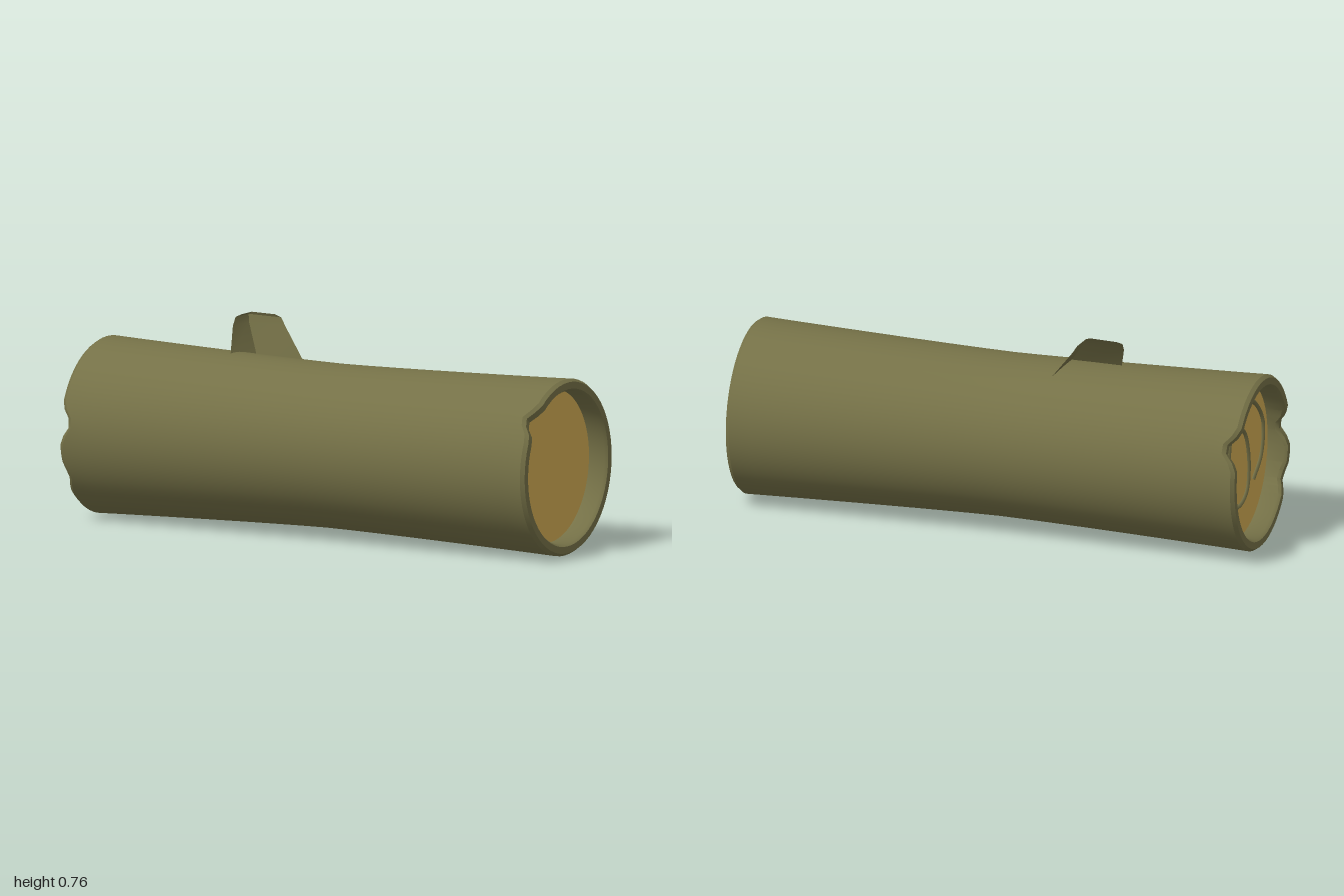
import * as THREE from 'three';
import { toCreasedNormals } from 'three/addons/utils/BufferGeometryUtils.js';

const HALF = 0.976;   // half length of the log
const DISC = 0.9;     // where the cut wood sits inside each end

// Skin a list of rings (arrays of [x, y, z]) into one surface
function loft(rings, capEnd = false) {
  const n = rings[0].length, index = [];
  for (let i = 0; i < rings.length - 1; i++) {
    for (let j = 0; j < n; j++) {
      const a = i * n + j, b = i * n + (j + 1) % n;
      index.push(a, a + n, b, b, a + n, b + n);
    }
  }
  if (capEnd) {
    const o = (rings.length - 1) * n;
    for (let j = 1; j < n - 1; j++) index.push(o, o + j + 1, o + j);
  }
  const geo = new THREE.BufferGeometry();
  geo.setAttribute('position', new THREE.Float32BufferAttribute(rings.flat(2), 3));
  geo.setIndex(index);
  return geo;
}

// Broken notches in the rims: [angle, half width, depth]; angle 0 faces front
const NOTCHES = {
  '-1': [[0.15, 0.21, 0.045], [-0.5, 0.2, 0.018], [Math.PI - 0.47, 0.21, 0.055]],
  '1': [[0.7, 0.2, 0.045]],
};
function notch(side, angle) {
  let d = 0;
  for (const [at, w, depth] of NOTCHES[side]) {
    const off = Math.atan2(Math.sin(angle - at), Math.cos(angle - at));
    d = Math.max(d, depth * (1 - Math.abs(off) / w));
  }
  return d;
}

// Hollow-ended trunk: inner wall, bevelled rim, waisted outside, rim, inner wall
function trunkGeometry() {
  const lip = [[DISC - 0.01, 0.281, 0], [HALF - 0.012, 0.281, 1], [HALF, 0.289, 1],
    [HALF, 0.314, 1], [HALF - 0.014, 0.324, 1]];           // [position, radius, notched]
  const profile = lip.map(([s, r, k]) => [-s, r, k]);
  for (let i = -8; i <= 8; i++) {
    const s = i * 0.11;
    profile.push([s, 0.299 + 0.026 * Math.pow(Math.abs(s), 1.3), 0]);
  }
  profile.push(...lip.reverse());
  const n = 60;
  return loft(profile.map(([s, r, k]) => {
    const side = Math.sign(s), ring = [];
    for (let j = 0; j < n; j++) {
      const a = j / n * Math.PI * 2;
      const x = k ? s - side * notch(side, a) : s;
      ring.push([x, r * Math.sin(a), r * Math.cos(a)]);
    }
    return ring;
  }));
}

// Leaning branch stub, as rectangles [y, xMin, xMax, zMin, zMax]
function stubGeometry() {
  const sections = [
    [0.55, -0.39, -0.165, -0.1, 0.1],
    [0.62, -0.42, -0.22, -0.107, 0.06],
    [0.725, -0.464, -0.305, -0.127, -0.022],
    [0.755, -0.468, -0.325, -0.13, -0.045],
    [0.765, -0.45, -0.35, -0.125, -0.06],
  ];
  return loft(sections.map(([y, x0, x1, z0, z1]) =>
    [[x0, y, z0], [x1, y, z0], [x1, y, z1], [x0, y, z1]].reverse()), true);
}

export function createModel() {
  const bark = new THREE.MeshStandardMaterial({ name: 'bark', color: 0x757147 });
  const wood = new THREE.MeshStandardMaterial({ name: 'cutWood', color: 0xcfaa53 });
  const model = new THREE.Group();
  model.name = 'log';

  const add = (parent, name, geo, mat) => {
    const mesh = new THREE.Mesh(geo, mat);
    mesh.name = name;
    parent.add(mesh);
    return mesh;
  };

  // Trunk lies along x, turned slightly
  const trunk = new THREE.Group();
  trunk.name = 'trunk';
  trunk.position.set(0, 0.33, -0.004);
  trunk.rotation.y = 0.068;
  model.add(trunk);
  add(trunk, 'barkShell', toCreasedNormals(trunkGeometry(), 0.6), bark);

  // Cut wood inside both ends
  for (const side of [-1, 1]) {
    const disc = add(trunk, side < 0 ? 'rightCutFace' : 'leftCutFace',
      new THREE.CircleGeometry(0.284, 48), wood);
    disc.rotation.y = side * Math.PI / 2;
    disc.position.x = side * DISC;
  }

  // Curled growth rings on one cut face, points as [z, y]
  const curls = [
    [[-0.16, -0.02], [-0.14, 0.13], [0, 0.12], [0.06, 0], [0.045, -0.12], [-0.03, -0.16], [-0.19, -0.13]],
    [[-0.08, 0.21], [0.1, 0.2], [0.22, 0.08], [0.2, -0.04], [0.11, -0.11]],
  ];
  for (const pts of curls) {
    const path = new THREE.CatmullRomCurve3(pts.map(([z, y]) => new THREE.Vector3(-DISC, y, z)));
    add(trunk, 'growthRing', new THREE.TubeGeometry(path, 32, 0.01, 4), bark);
  }

  add(model, 'branchStub', toCreasedNormals(stubGeometry(), 0.4), bark);
  return model;
}
